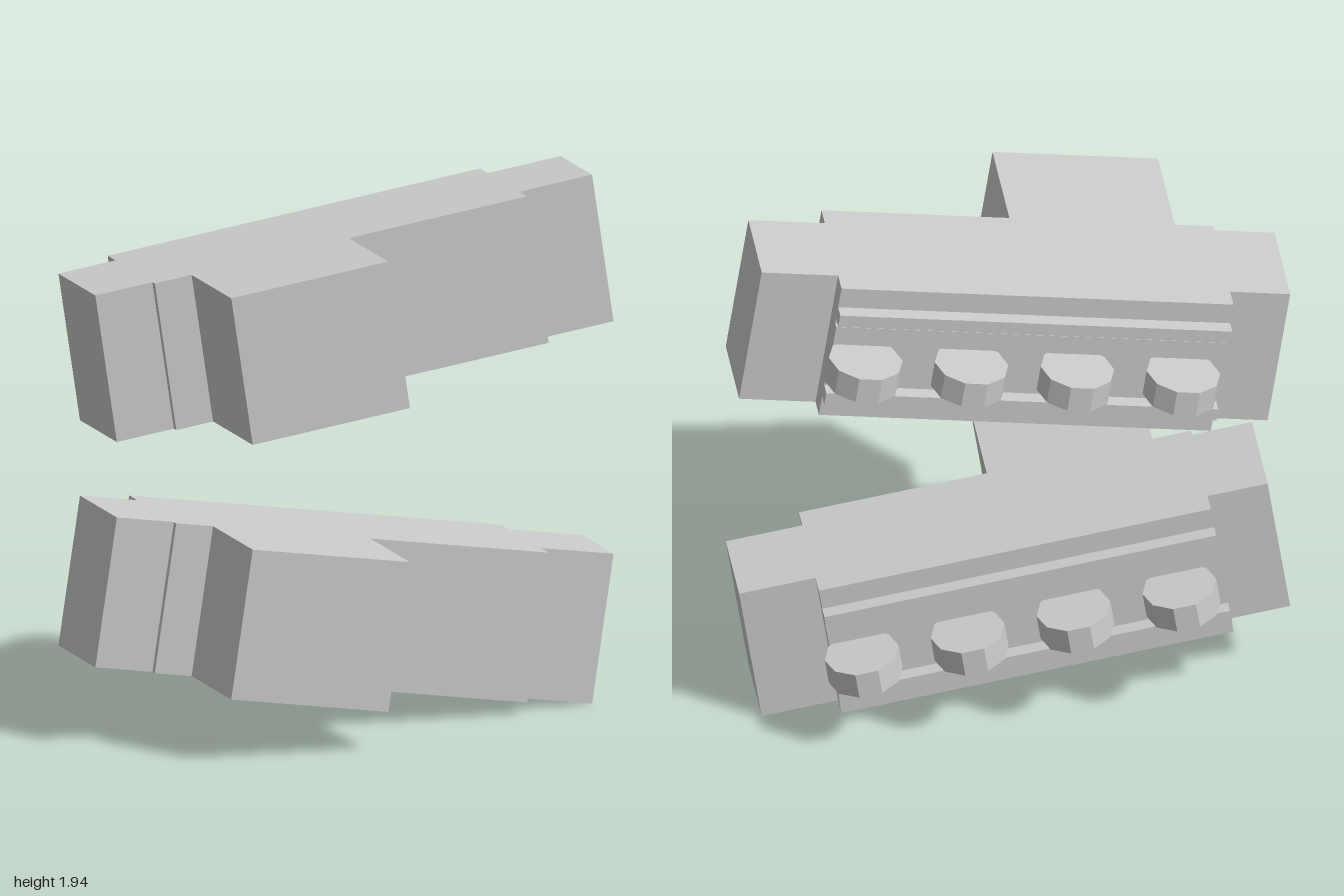
import * as THREE from 'three';

const material = new THREE.MeshStandardMaterial({ color: 0xcccccc, flatShading: true });

function addMesh(parent, name, geometry, x = 0, y = 0, z = 0) {
  const mesh = new THREE.Mesh(geometry, material);
  mesh.name = name;
  mesh.position.set(x, y, z);
  parent.add(mesh);
}

// One half: a stepped body with a railed back and a row of rounded studs
function createJaw(name) {
  const jaw = new THREE.Group();
  jaw.name = name;

  const height = 0.55;
  const left = -0.748, right = 0.688, end = 0.968, back = -0.337;

  // Body: plan outline in (x, z), extruded vertically
  const plan = new THREE.Shape([
    [-end, -0.255], [left, -0.255], [left, back], [right, back],
    [right, -0.255], [end, -0.255], [end, 0.076], [right, 0.076],
    [right, 0.158], [0, 0.158], [0, 0.575], [-0.606, 0.575],
    [-0.606, 0.158], [left, 0.158], [left, 0.133], [-end, 0.133],
  ].map(([x, z]) => new THREE.Vector2(x, z)));
  const body = new THREE.ExtrudeGeometry(plan, { depth: height, bevelEnabled: false });
  body.rotateX(Math.PI / 2).translate(0, height / 2, 0);
  addMesh(jaw, 'body', body);

  // Back plate between two thicker rails, separated by narrow grooves
  const length = right - left, middle = (left + right) / 2;
  addMesh(jaw, 'backPlate', new THREE.BoxGeometry(length, 0.25, 0.025), middle, 0, back - 0.0125);
  for (const side of [-1, 1]) {
    addMesh(jaw, 'rail', new THREE.BoxGeometry(length, 0.049, 0.053), middle, side * 0.1695, back - 0.0265);
  }

  // Ten-sided studs, partly sunk into the plate
  const stud = new THREE.CylinderGeometry(0.135, 0.135, 0.1, 10);
  stud.rotateY(Math.PI / 10 * 5);
  for (let i = 0; i < 4; i++) {
    addMesh(jaw, 'stud', stud, -0.582 + i * 0.388, 0, -0.45);
  }
  return jaw;
}

export function createModel() {
  const model = new THREE.Group();
  model.name = 'pairOfJaws';
  const tilt = 0.1495;

  // The two halves tilt away from each other towards +x
  const lower = createJaw('lowerJaw');
  lower.position.y = 0.417;
  lower.rotation.z = -tilt;

  const upper = createJaw('upperJaw');
  upper.position.y = 1.526;
  upper.rotation.z = tilt;

  model.add(lower, upper);
  return model;
}
